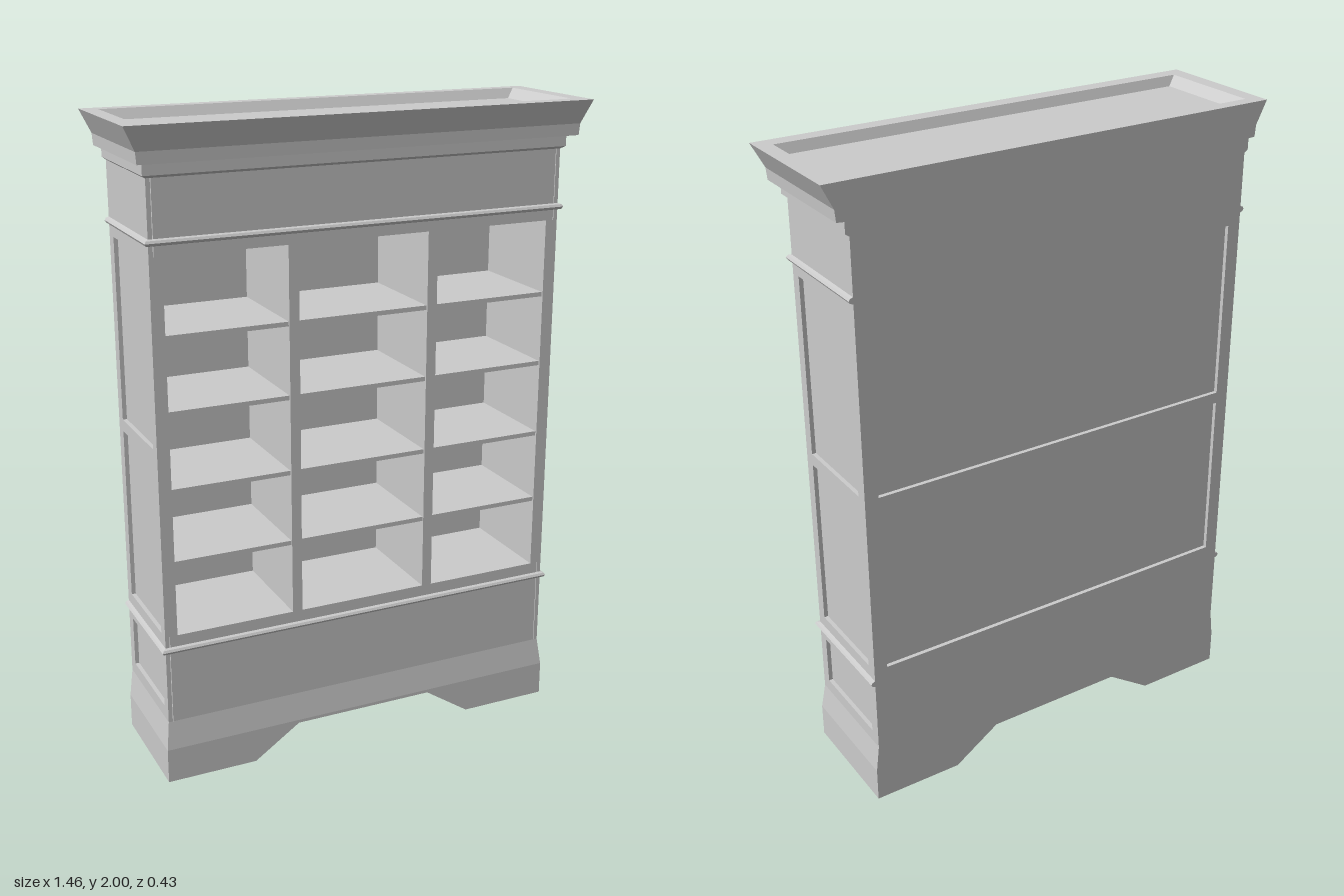
import * as THREE from 'three';

const mat = new THREE.MeshStandardMaterial({ color: 0xcccccc, flatShading: true });
const BACK = -0.213, FRONT = 0.156, HALF = 0.655;

export function createModel() {
  const group = new THREE.Group();

  const add = (name, geometry) => {
    const mesh = new THREE.Mesh(geometry, mat);
    mesh.name = name;
    group.add(mesh);
    return mesh;
  };

  // Box given by its limits
  const box = (name, x0, x1, y0, y1, z0, z1) =>
    add(name, new THREE.BoxGeometry(x1 - x0, y1 - y0, z1 - z0)
      .translate((x0 + x1) / 2, (y0 + y1) / 2, (z0 + z1) / 2));

  // Capped stack of rectangles, each [y, half width, front z, back z]
  const loft = (name, sections) => {
    const pos = [];
    const rings = sections.map(([y, hx, zf, zb = BACK]) =>
      [[-hx, y, zf], [hx, y, zf], [hx, y, zb], [-hx, y, zb]]);
    const quad = (a, b, c, d) => pos.push(...a, ...b, ...c, ...a, ...c, ...d);
    for (let i = 0; i < rings.length - 1; i++) {
      const r = rings[i], s = rings[i + 1];
      for (let j = 0; j < 4; j++) {
        const k = (j + 1) % 4;
        quad(r[j], r[k], s[k], s[j]);
      }
    }
    const first = rings[0];
    quad(first[3], first[2], first[1], first[0]);
    quad(...rings[rings.length - 1]);
    const g = new THREE.BufferGeometry();
    g.setAttribute('position', new THREE.Float32BufferAttribute(pos, 3));
    g.computeVertexNormals();
    return add(name, g);
  };

  const rect = (Type, u0, u1, v0, v1) => new Type([
    new THREE.Vector2(u0, v0), new THREE.Vector2(u1, v0),
    new THREE.Vector2(u1, v1), new THREE.Vector2(u0, v1)]);

  // Flat board with rectangular openings, extruded along +z
  const frame = (outer, holes, depth) => {
    const shape = rect(THREE.Shape, ...outer);
    shape.holes = holes.map(h => rect(THREE.Path, ...h));
    return new THREE.ExtrudeGeometry(shape, { depth, bevelEnabled: false });
  };

  // Plinth, flaring out on the front and sides
  loft('plinth', [[0.1, 0.666, 0.168], [0.11, 0.666, 0.168], [0.2, HALF, FRONT]]);

  // Hollow bracket feet with sloped arch ends, front and back
  for (const s of [-1, 1]) {
    for (const z of [BACK, 0.168 - 0.045]) {
      const pts = [[0.666, 0], [0.666, 0.1], [0.23, 0.1], [0.378, 0]];
      const shape = new THREE.Shape(pts.map(([x, y]) => new THREE.Vector2(s * x, y)));
      add('footBracket', new THREE.ExtrudeGeometry(shape, { depth: 0.045, bevelEnabled: false })
        .translate(0, 0, z));
    }
    const a = s * 0.666, b = s * 0.621;
    box('footSide', Math.min(a, b), Math.max(a, b), 0, 0.1, BACK + 0.045, 0.123);
  }

  // Solid blocks below and above the shelves
  box('lowerBlock', -0.64, 0.64, 0.2, 0.486, -0.2, FRONT);
  box('upperBlock', -0.64, 0.64, 1.635, 1.86, -0.2, FRONT);

  // Framed sides with recessed panels
  const sideHoles = [[-0.175, 0.121, 0.24, 0.4], [-0.175, 0.121, 0.486, 1.033],
    [-0.175, 0.121, 1.07, 1.632]];
  for (const s of [-1, 1]) {
    const g = frame([BACK, FRONT, 0.2, 1.86], sideHoles, 0.013);
    // extrusion axis becomes x, shape axis becomes z
    g.rotateY(-Math.PI / 2).translate(s > 0 ? HALF : -HALF + 0.013, 0, 0);
    add('sideFrame', g);
    const x = s * 0.629;
    box('sidePanel', x - 0.013, x + 0.013, 0.486, 1.635, -0.2, FRONT);
  }

  // Framed back with two recessed panels
  add('backFrame', frame([-0.642, 0.642, 0.2, 1.86],
    [[-0.612, 0.612, 0.486, 1.033], [-0.612, 0.612, 1.07, 1.632]], 0.013)
    .translate(0, 0, BACK));
  box('backPanel', -0.63, 0.63, 0.486, 1.635, -0.2, -0.18);

  // Dividers and shelves
  for (const x of [-0.225, 0.225]) box('divider', x - 0.016, x + 0.016, 0.486, 1.635, -0.18, FRONT);
  for (const [x0, x1] of [[-0.616, -0.241], [-0.209, 0.209], [0.241, 0.616]])
    for (const y of [0.715, 0.942, 1.178, 1.402])
      box('shelf', x0, x1, y - 0.007, y + 0.007, -0.18, 0.15);

  // Rounded trim bands on the front and sides
  for (const y of [0.44, 1.676])
    loft('trimBand', [[y - 0.01, HALF, FRONT], [y - 0.007, 0.664, 0.165], [y, 0.668, 0.169],
      [y + 0.007, 0.664, 0.165], [y + 0.01, HALF, FRONT]]);

  // Stepped crown with a sunken top
  loft('crown', [[1.852, 0.656, FRONT], [1.86, 0.667, 0.168], [1.893, 0.667, 0.168],
    [1.895, 0.69, 0.199], [1.93, 0.693, 0.2], [2, 0.728, 0.214],
    [2, 0.68, 0.166, -0.172], [1.97, 0.655, 0.155, -0.157]]);

  return group;
}
